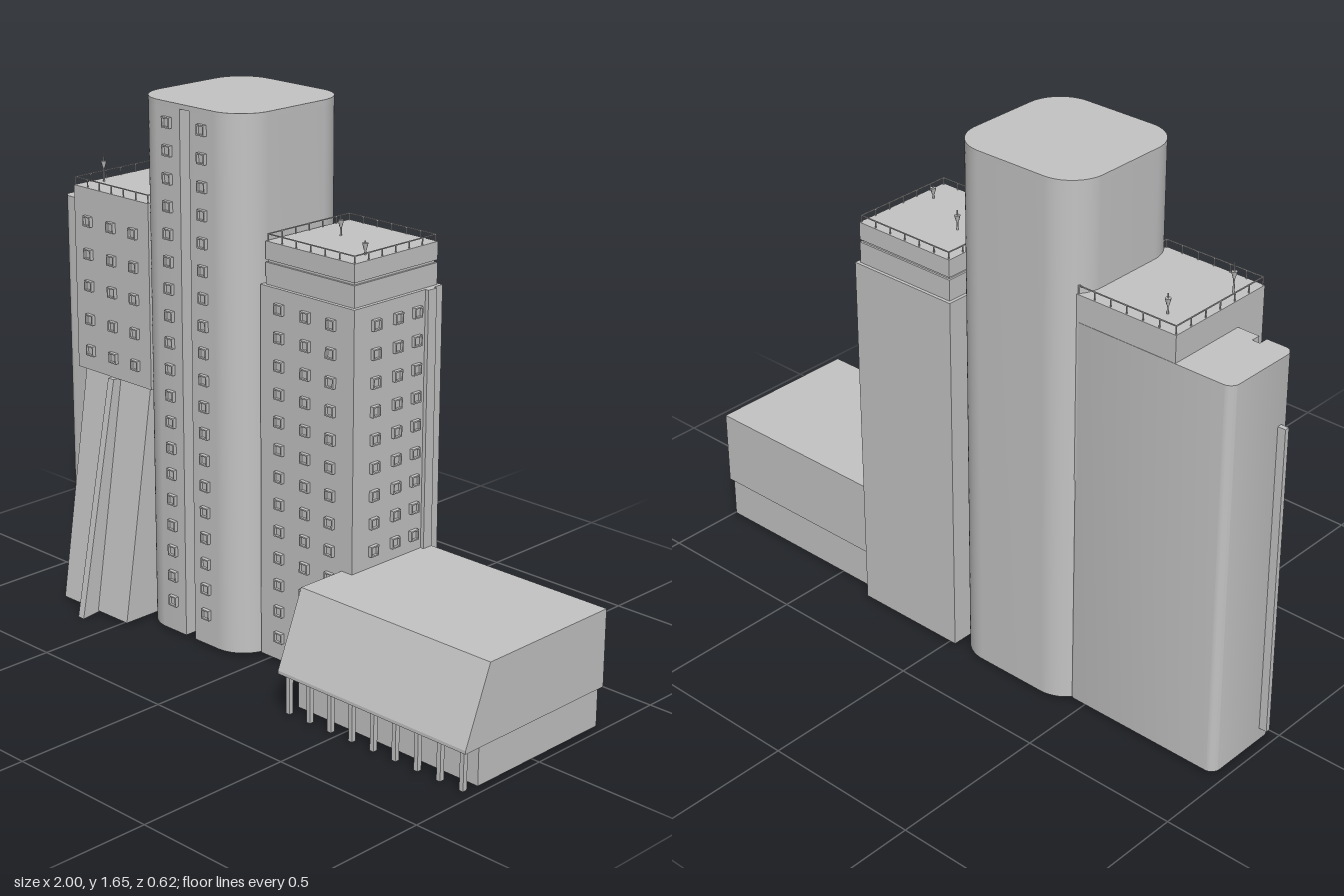
import * as THREE from 'three';
import { toCreasedNormals } from 'three/addons/utils/BufferGeometryUtils.js';

const concrete = new THREE.MeshStandardMaterial({ color: 0xc4c4c4 });
concrete.name = 'grey concrete';

function add(parent, name, geometry) {
  const mesh = new THREE.Mesh(geometry, concrete);
  mesh.name = name;
  parent.add(mesh);
  return mesh;
}

// Box given by its limits on each axis
function box(parent, name, x0, x1, y0, y1, z0, z1) {
  const g = new THREE.BoxGeometry(x1 - x0, y1 - y0, z1 - z0);
  g.translate((x0 + x1) / 2, (y0 + y1) / 2, (z0 + z1) / 2);
  return add(parent, name, g);
}

// Upright block with rounded corners and an optional groove in the front wall
function roundedBlock(parent, name, x0, x1, y0, y1, z0, z1, r, groove) {
  const s = new THREE.Shape();
  const f = -z1, b = -z0;
  s.moveTo(x0 + r, f);
  if (groove) {
    const [g0, g1, depth] = groove;
    s.lineTo(g0, f);
    s.lineTo(g0, f + depth);
    s.lineTo(g1, f + depth);
    s.lineTo(g1, f);
  }
  s.lineTo(x1 - r, f);
  s.absarc(x1 - r, f + r, r, -Math.PI / 2, 0, false);
  s.lineTo(x1, b - r);
  s.absarc(x1 - r, b - r, r, 0, Math.PI / 2, false);
  s.lineTo(x0 + r, b);
  s.absarc(x0 + r, b - r, r, Math.PI / 2, Math.PI, false);
  s.lineTo(x0, f + r);
  s.absarc(x0 + r, f + r, r, Math.PI, Math.PI * 1.5, false);
  const g = new THREE.ExtrudeGeometry(s, { depth: y1 - y0, bevelEnabled: false, curveSegments: 10 });
  g.rotateX(-Math.PI / 2);
  g.translate(0, y0, 0);
  return add(parent, name, toCreasedNormals(g, 0.6));
}

// Side profile of [z, y] points carried along x
function profileBlock(parent, name, x0, x1, points) {
  const s = new THREE.Shape(points.map(([z, y]) => new THREE.Vector2(-z, y)));
  const g = new THREE.ExtrudeGeometry(s, { depth: x1 - x0, bevelEnabled: false });
  g.rotateY(Math.PI / 2);
  g.translate(x0, 0, 0);
  return add(parent, name, g);
}

// Framed window: four thin bars around a recessed pane, facing +z
function windowUnit(parent, x, y, z, turn = 0) {
  const w = new THREE.Group();
  w.name = 'window';
  const h = 0.016, t = 0.004, d = 0.012;
  box(w, 'windowFrameTop', -h, h, h - t, h, 0, d);
  box(w, 'windowFrameBottom', -h, h, -h, -h + t, 0, d);
  box(w, 'windowFrameLeft', h - t, h, -h + t, h - t, 0, d);
  box(w, 'windowFrameRight', -h, -h + t, -h + t, h - t, 0, d);
  box(w, 'windowPane', -h + t, h - t, -h + t, h - t, 0, 0.004);
  w.position.set(x, y, z);
  w.rotation.y = turn;
  parent.add(w);
}

// Roof railing with posts around a rectangle
function railing(parent, x0, x1, z0, z1, y, h) {
  const g = new THREE.Group();
  g.name = 'roofRailing';
  const t = 0.0015, n = 6;
  for (const z of [z0, z1]) box(g, 'rail', x0, x1, y + h - 2 * t, y + h, z - t, z + t);
  for (const x of [x0, x1]) box(g, 'rail', x - t, x + t, y + h - 2 * t, y + h, z0, z1);
  for (let i = 0; i <= n; i++) {
    const px = x0 + (x1 - x0) * i / n, pz = z0 + (z1 - z0) * i / n;
    for (const z of [z0, z1]) box(g, 'post', px - t, px + t, y, y + h, z - t, z + t);
    for (const x of [x0, x1]) box(g, 'post', x - t, x + t, y, y + h, pz - t, pz + t);
  }
  parent.add(g);
}

// Thin mast with a small drum near the top
function antenna(parent, x, y, z, h) {
  const g = new THREE.Group();
  g.name = 'antenna';
  add(g, 'mast', new THREE.CylinderGeometry(0.002, 0.003, h, 8)).position.y = h / 2;
  add(g, 'drum', new THREE.CylinderGeometry(0.009, 0.004, 0.02, 8)).position.y = h * 0.6;
  g.position.set(x, y, z);
  parent.add(g);
}

function group(parent, name) {
  const g = new THREE.Group();
  g.name = name;
  parent.add(g);
  return g;
}

export function createModel() {
  const model = new THREE.Group();
  model.name = 'buildingComplex';

  // Tall central tower with a front slot and two window columns
  const tower = group(model, 'centralTower');
  roundedBlock(tower, 'towerBody', -0.48, -0.03, 0.01, 1.64, -0.31, 0.13, 0.11, [-0.28, -0.24, 0.05]);
  roundedBlock(tower, 'towerRoof', -0.48, -0.03, 1.64, 1.655, -0.31, 0.13, 0.11);
  for (let i = 0; i < 19; i++)
    for (const x of [-0.33, -0.185]) windowUnit(tower, x, 0.11 + i * 0.0825, 0.13);

  // Square tower with stepped crown
  const square = group(model, 'squareTower');
  box(square, 'squareTowerBody', -0.03, 0.34, 0.01, 1.16, -0.31, 0.055);
  box(square, 'crownLower', -0.02, 0.328, 1.16, 1.225, -0.3, 0.043);
  box(square, 'crownGap', -0.014, 0.322, 1.225, 1.233, -0.294, 0.037);
  box(square, 'crownUpper', -0.02, 0.328, 1.233, 1.287, -0.3, 0.043);
  box(square, 'cornerPilaster', 0.34, 0.352, 0.01, 1.16, -0.272, -0.237);
  railing(square, -0.015, 0.323, -0.295, 0.038, 1.287, 0.022);
  antenna(square, 0.09, 1.287, -0.15, 0.06);
  antenna(square, 0.28, 1.287, -0.05, 0.04);
  for (let i = 0; i < 13; i++) {
    const y = 0.085 + i * 0.0847;
    for (const x of [0.05, 0.155, 0.255]) windowUnit(square, x, y, 0.055);
    if (y > 0.4) for (const z of [-0.03, -0.12, -0.2]) windowUnit(square, 0.34, y, z, Math.PI / 2);
  }

  // Long rear wing with rounded end, slot and side strip
  const wing = group(model, 'rearWing');
  roundedBlock(wing, 'wingBody', -0.975, -0.44, 0.01, 1.245, -0.272, -0.01, 0.03, [-0.885, -0.86, 0.03]);
  box(wing, 'sideStrip', -1, -0.97, 0.05, 1.04, -0.065, -0.05);

  // Overhanging upper block carried by a leaning wall and fin
  const upper = group(model, 'overhangBlock');
  box(upper, 'overhangBody', -0.79, -0.455, 0.75, 1.327, -0.271, 0.1);
  profileBlock(upper, 'leaningWall', -0.77, -0.475, [[-0.02, 0.01], [0.2, 0.01], [0.085, 0.75], [-0.02, 0.75]]);
  profileBlock(upper, 'leaningFin', -0.635, -0.61, [[0.1, 0.01], [0.21, 0.005], [0.26, 0], [0.115, 0.75], [0.05, 0.75]]);
  railing(upper, -0.786, -0.459, -0.267, 0.096, 1.327, 0.026);
  antenna(upper, -0.755, 1.327, 0.01, 0.09);
  antenna(upper, -0.7, 1.327, -0.195, 0.06);
  for (const y of [0.815, 0.915, 1.022, 1.122, 1.225])
    for (const x of [-0.725, -0.62, -0.52]) windowUnit(upper, x, y, 0.1);

  // Low hall with sloped front over a colonnade
  const hall = group(model, 'lowHall');
  profileBlock(hall, 'hallUpper', 0.3, 1, [
    [-0.272, 0.135], [0.312, 0.135], [0.312, 0.145], [0.22, 0.372], [-0.272, 0.372],
  ]);
  box(hall, 'hallBase', 0.31, 0.985, 0.01, 0.135, -0.268, 0.24);
  for (let i = 0; i < 9; i++) {
    const x = 0.32 + i * 0.0815;
    box(hall, 'hallColumn', x - 0.007, x + 0.007, 0.01, 0.135, 0.278, 0.293);
  }
  return model;
}
